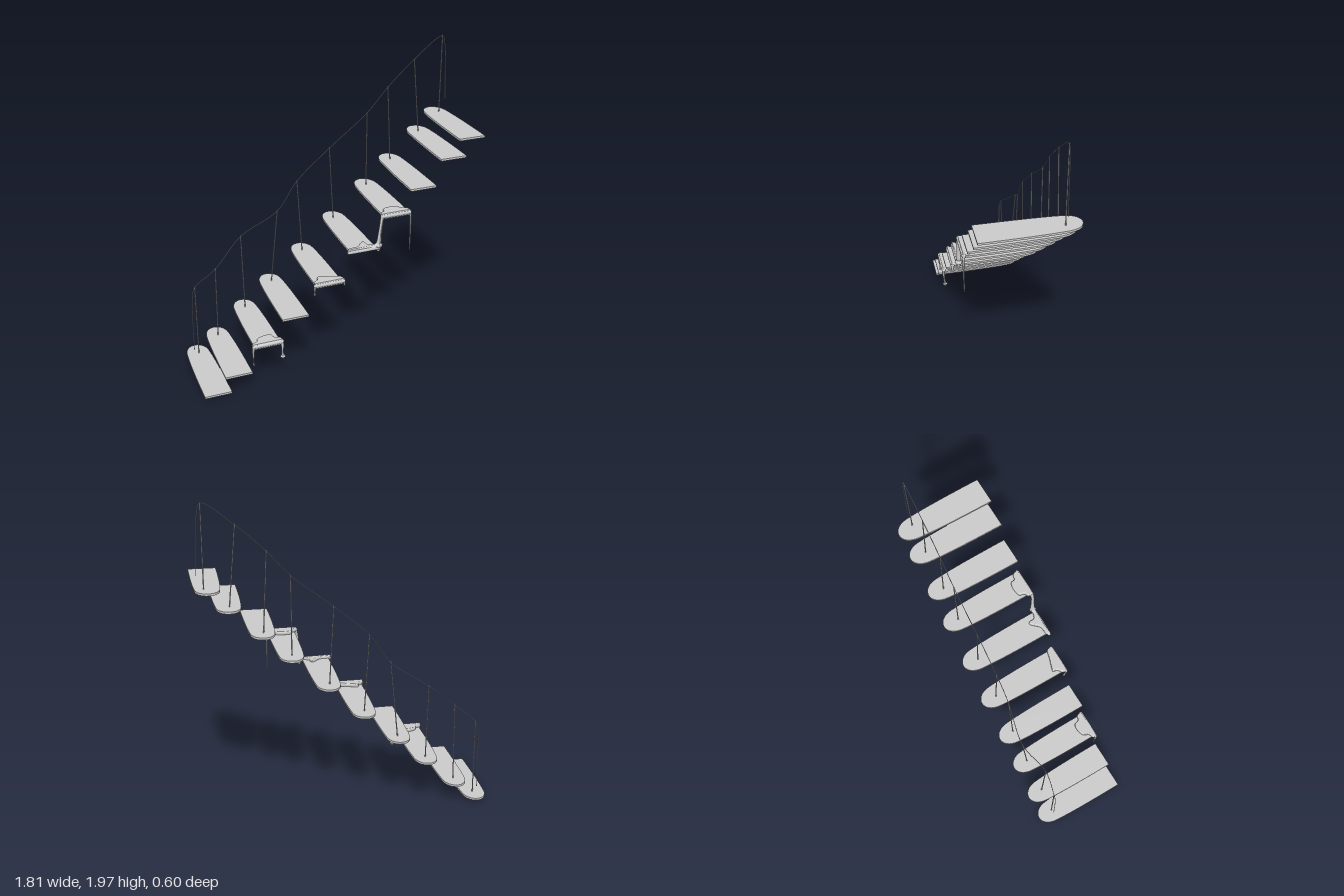
import * as THREE from 'three';

const mat = new THREE.MeshStandardMaterial({ color: 0xcccccc, side: THREE.DoubleSide });
const V = (x, y, z) => new THREE.Vector3(x, y, z);

function add(parent, name, geometry) {
  const mesh = new THREE.Mesh(geometry, mat);
  mesh.name = name;
  parent.add(mesh);
  return mesh;
}

// Straight thin rod between two points
function rod(parent, name, a, b, r) {
  const mesh = add(parent, name, new THREE.CylinderGeometry(r, r, a.distanceTo(b), 8));
  mesh.position.copy(a).add(b).multiplyScalar(0.5);
  mesh.quaternion.setFromUnitVectors(V(0, 1, 0), b.clone().sub(a).normalize());
}

// Tube through [x, y, z, radius] points, closed by round ends
function drip(parent, name, pts) {
  const curve = new THREE.CatmullRomCurve3(pts.map(p => V(p[0], p[1], p[2])), false, 'centripetal');
  const radii = new THREE.CatmullRomCurve3(pts.map(p => V(p[3], 0, 0)));
  const n = 28, sides = 10;
  const g = new THREE.TubeGeometry(curve, n, 1, sides);
  const pos = g.attributes.position, v = V(0, 0, 0);
  // place rings at even parameter steps so each radius stays with its point
  for (let i = 0; i <= n; i++) {
    const centre = curve.getPointAt(i / n), c = curve.getPoint(i / n);
    const r = Math.max(0.002, radii.getPoint(i / n).x);
    for (let j = 0; j <= sides; j++) {
      const k = i * (sides + 1) + j;
      v.fromBufferAttribute(pos, k).sub(centre).multiplyScalar(r).add(c);
      pos.setXYZ(k, v.x, v.y, v.z);
    }
  }
  g.computeVertexNormals();
  add(parent, name, g);
  for (const p of [pts[0], pts[pts.length - 1]]) {
    add(parent, name + 'End', new THREE.SphereGeometry(p[3], 10, 8)).position.set(p[0], p[1], p[2]);
  }
}

// Tread plan: straight front edge, gently tapering sides, rounded back
function treadGeometry() {
  const s = new THREE.Shape();
  s.moveTo(-0.085, -0.29);
  s.lineTo(0.085, -0.29);
  s.bezierCurveTo(0.085, -0.1, 0.083, 0.08, 0.073, 0.2);
  s.bezierCurveTo(0.064, 0.327, -0.064, 0.327, -0.073, 0.2);
  s.bezierCurveTo(-0.083, 0.08, -0.085, -0.1, -0.085, -0.29);
  const g = new THREE.ExtrudeGeometry(s, { depth: 0.013, bevelEnabled: false, curveSegments: 16 });
  return g.rotateX(-Math.PI / 2).translate(0, -0.0065, 0);
}

// Soft puddle lying on a tread, from a plan outline of [x, z] points
function puddle(parent, y, outline) {
  const s = new THREE.Shape();
  s.moveTo(outline[0][0], -outline[0][1]);
  s.splineThru(outline.slice(1).map(p => new THREE.Vector2(p[0], -p[1])));
  s.closePath();
  const g = new THREE.ExtrudeGeometry(s, {
    depth: 0.008, bevelThickness: 0.009, bevelSize: 0.008, bevelOffset: -0.008,
    bevelSegments: 4, curveSegments: 6,
  });
  add(parent, 'puddle', g.rotateX(-Math.PI / 2).translate(0, y + 0.011, 0));
}

export function createModel() {
  const model = new THREE.Group();
  model.name = 'stairway';

  // tread x, tread y, post foot x, post top x, post top y, post top z
  const steps = [
    [-0.823, 0.04, -0.82, -0.82, 0.54, -0.195],
    [-0.688, 0.148, -0.686, -0.686, 0.655, -0.177],
    [-0.497, 0.317, -0.497, -0.497, 0.82, -0.236],
    [-0.318, 0.475, -0.317, -0.263, 0.978, -0.195],
    [-0.097, 0.66, -0.1, -0.13, 1.16, -0.195],
    [0.121, 0.853, 0.115, 0.087, 1.35, -0.195],
    [0.342, 1.05, 0.34, 0.34, 1.55, -0.195],
    [0.51, 1.203, 0.506, 0.477, 1.7, -0.195],
    [0.703, 1.37, 0.7, 0.652, 1.86, -0.195],
    [0.82, 1.483, 0.84, 0.84, 1.99, -0.195],
  ];
  const tread = treadGeometry();
  for (const [x, y, fx, tx, ty, tz] of steps) {
    add(model, 'tread', tread).position.set(x, y, 0);
    rod(model, 'post', V(fx, y - 0.022, -0.195), V(tx, ty, tz), 0.0035);
  }

  // Handrail rope through the post tops, with both ends hanging
  const rope = [
    V(-0.848, 0.08, -0.195), V(-0.846, 0.3, -0.195), V(-0.838, 0.47, -0.195),
    ...steps.map(s => V(s[3], s[4] - 0.006, s[5])),
    V(0.86, 1.93, -0.195), V(0.871, 1.75, -0.195), V(0.88, 1.57, -0.195),
  ];
  add(model, 'rope', new THREE.TubeGeometry(new THREE.CatmullRomCurve3(rope), 160, 0.0022, 6));

  const melt = new THREE.Group();
  melt.name = 'meltedMass';
  model.add(melt);

  // Puddles
  puddle(melt, 0.317, [[-0.597, 0.288], [-0.59, 0.262], [-0.56, 0.25], [-0.545, 0.218], [-0.5, 0.2],
    [-0.455, 0.205], [-0.44, 0.24], [-0.41, 0.252], [-0.401, 0.288]]);
  puddle(melt, 0.66, [[-0.197, 0.288], [-0.185, 0.255], [-0.16, 0.238], [-0.15, 0.208], [-0.125, 0.212],
    [-0.06, 0.235], [-0.01, 0.25], [0.003, 0.288]]);
  puddle(melt, 0.848, [[0.018, 0.288], [0.035, 0.264], [0.09, 0.258], [0.125, 0.225], [0.148, 0.207],
    [0.16, 0.22], [0.165, 0.25], [0.2, 0.266], [0.238, 0.272], [0.238, 0.288]]);
  puddle(melt, 1.05, [[0.237, 0.288], [0.246, 0.256], [0.27, 0.242], [0.282, 0.21], [0.33, 0.2],
    [0.375, 0.208], [0.385, 0.238], [0.42, 0.25], [0.431, 0.288]]);

  // Lips sagging over the front edges: [left, right, y]
  for (const [a, b, y] of [[-0.588, -0.408, 0.328], [-0.187, -0.006, 0.67], [0.03, 0.225, 0.855], [0.245, 0.424, 1.06]]) {
    drip(melt, 'lip', [[a, y, 0.282, 0.013], [(a + b) / 2, y, 0.283, 0.013], [b, y, 0.282, 0.013]]);
  }

  // Hanging drips
  drip(melt, 'drip', [[-0.586, 0.333, 0.28, 0.011], [-0.592, 0.3, 0.285, 0.008], [-0.592, 0.25, 0.283, 0.006], [-0.591, 0.198, 0.281, 0.006]]);
  drip(melt, 'drip', [[-0.41, 0.333, 0.28, 0.011], [-0.406, 0.3, 0.284, 0.009], [-0.405, 0.25, 0.28, 0.006], [-0.402, 0.22, 0.276, 0.009], [-0.402, 0.206, 0.276, 0.009]]);
  drip(melt, 'drip', [[-0.186, 0.672, 0.28, 0.011], [-0.191, 0.65, 0.284, 0.007], [-0.19, 0.625, 0.277, 0.005], [-0.189, 0.602, 0.272, 0.007]]);
  drip(melt, 'drip', [[-0.006, 0.672, 0.28, 0.011], [-0.001, 0.655, 0.284, 0.007], [0, 0.64, 0.283, 0.006]]);
  drip(melt, 'drip', [[0.424, 1.062, 0.28, 0.011], [0.43, 1.03, 0.285, 0.006], [0.431, 0.95, 0.285, 0.005], [0.432, 0.803, 0.284, 0.003]]);

  // Strand running from one tread down to the next
  drip(melt, 'strand', [[0.246, 1.06, 0.28, 0.013], [0.238, 1.02, 0.284, 0.01], [0.23, 0.94, 0.28, 0.011],
    [0.222, 0.88, 0.278, 0.015], [0.195, 0.862, 0.278, 0.014], [0.14, 0.86, 0.278, 0.011]]);
  drip(melt, 'drip', [[0.224, 0.89, 0.278, 0.013], [0.226, 0.855, 0.28, 0.013], [0.223, 0.834, 0.28, 0.009]]);
  return model;
}
